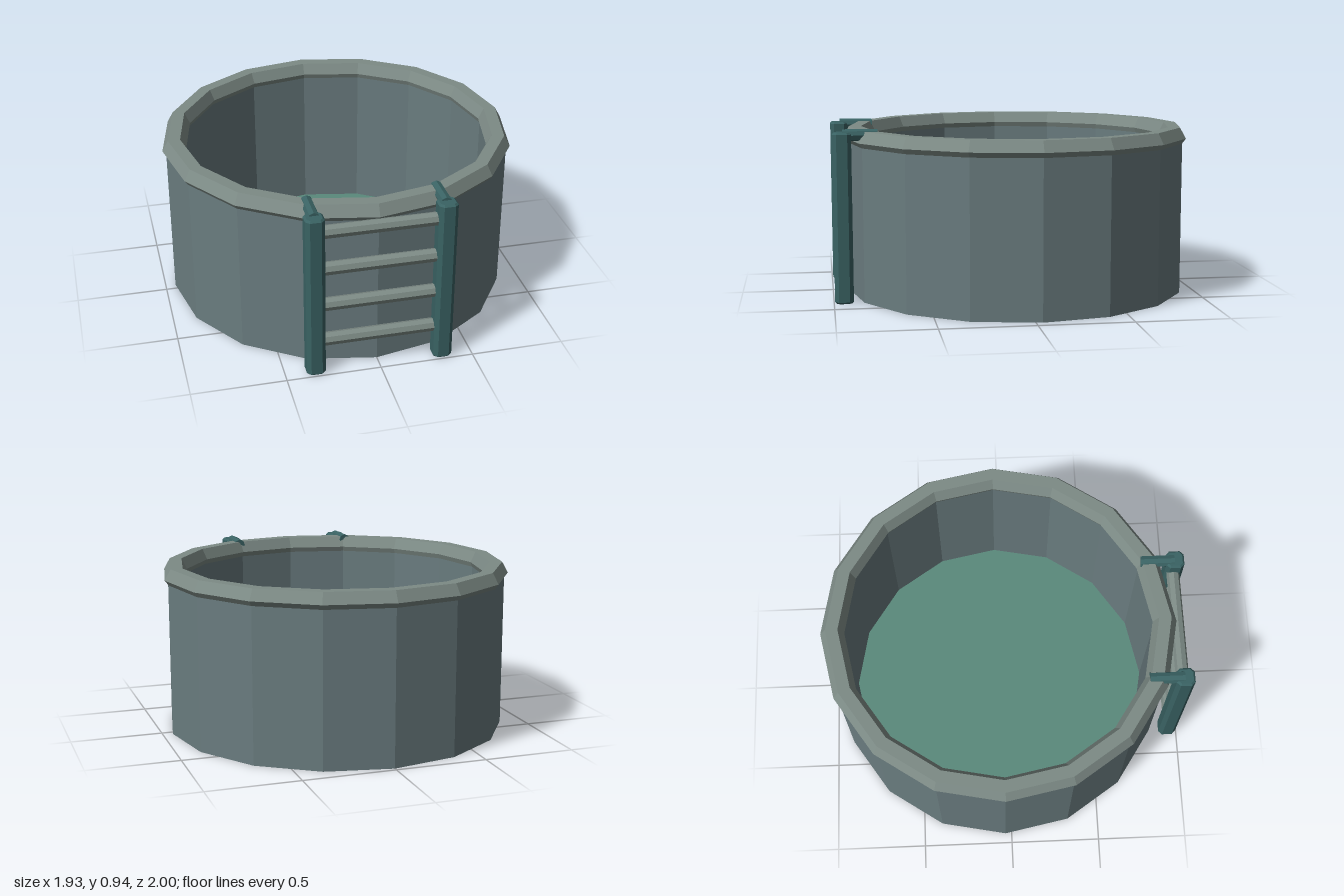
import * as THREE from 'three';

const SIDES = 16;
const paint = (color) => new THREE.MeshStandardMaterial({ color, flatShading: true });

export function createModel() {
  const model = new THREE.Group();
  const wallMat = paint(0x6a7c7f);
  const rimMat = paint(0x7d8b86);
  const floorMat = paint(0x5a8a7c);
  const postMat = paint(0x3a6364);

  function add(parent, name, geometry, material, x = 0, y = 0, z = 0) {
    const mesh = new THREE.Mesh(geometry, material);
    mesh.name = name;
    mesh.position.set(x, y, z);
    parent.add(mesh);
    return mesh;
  }
  const lathe = (points) =>
    new THREE.LatheGeometry(points.map(([r, y]) => new THREE.Vector2(r, y)), SIDES);

  // Round tub, set back a little to leave room for the ladder
  const tub = new THREE.Group();
  tub.name = 'tub';
  tub.position.z = -0.035;
  model.add(tub);
  add(tub, 'wall', lathe([[0.945, 0], [0.945, 0.86], [0.845, 0.86], [0.845, 0.01]]), wallMat);
  add(tub, 'floor', new THREE.CylinderGeometry(0.944, 0.944, 0.02, SIDES), floorMat, 0, 0.01, 0);

  // Rim with sloped inner and outer faces
  add(tub, 'rim', lathe([
    [0.845, 0.835], [0.945, 0.835], [0.965, 0.862], [0.932, 0.922],
    [0.865, 0.922], [0.835, 0.862], [0.845, 0.835],
  ]), rimMat);

  // Ladder
  const ladder = new THREE.Group();
  ladder.name = 'ladder';
  model.add(ladder);

  // Post outline: square with cut corners, also bevelled at both ends
  const h = 0.04, c = 0.025, bevel = 0.01, height = 0.92;
  const outline = new THREE.Shape([
    [h, -c], [h, c], [c, h], [-c, h], [-h, c], [-h, -c], [-c, -h], [c, -h],
  ].map(([x, y]) => new THREE.Vector2(x, y)));
  const postGeo = new THREE.ExtrudeGeometry(outline, {
    depth: height - 2 * bevel, bevelSize: bevel, bevelThickness: bevel, bevelSegments: 1,
  });
  postGeo.rotateX(-Math.PI / 2).translate(0, bevel, 0);

  // Arm reaching back over the rim
  const armGeo = new THREE.CylinderGeometry(0.032, 0.032, 0.185, 8).rotateX(Math.PI / 2);
  for (const [side, s] of [['left', 1], ['right', -1]]) {
    add(ladder, side + 'Post', postGeo, postMat, s * 0.34, 0, 0.945);
    add(ladder, side + 'Arm', armGeo, postMat, s * 0.338, 0.904, 0.848);
  }

  // Rungs
  const rungGeo = new THREE.CylinderGeometry(0.036, 0.036, 0.64, 8).rotateZ(Math.PI / 2);
  for (let i = 0; i < 4; i++) {
    add(ladder, 'rung' + (i + 1), rungGeo, rimMat, 0, 0.186 + i * 0.2123, 0.94);
  }
  return model;
}
